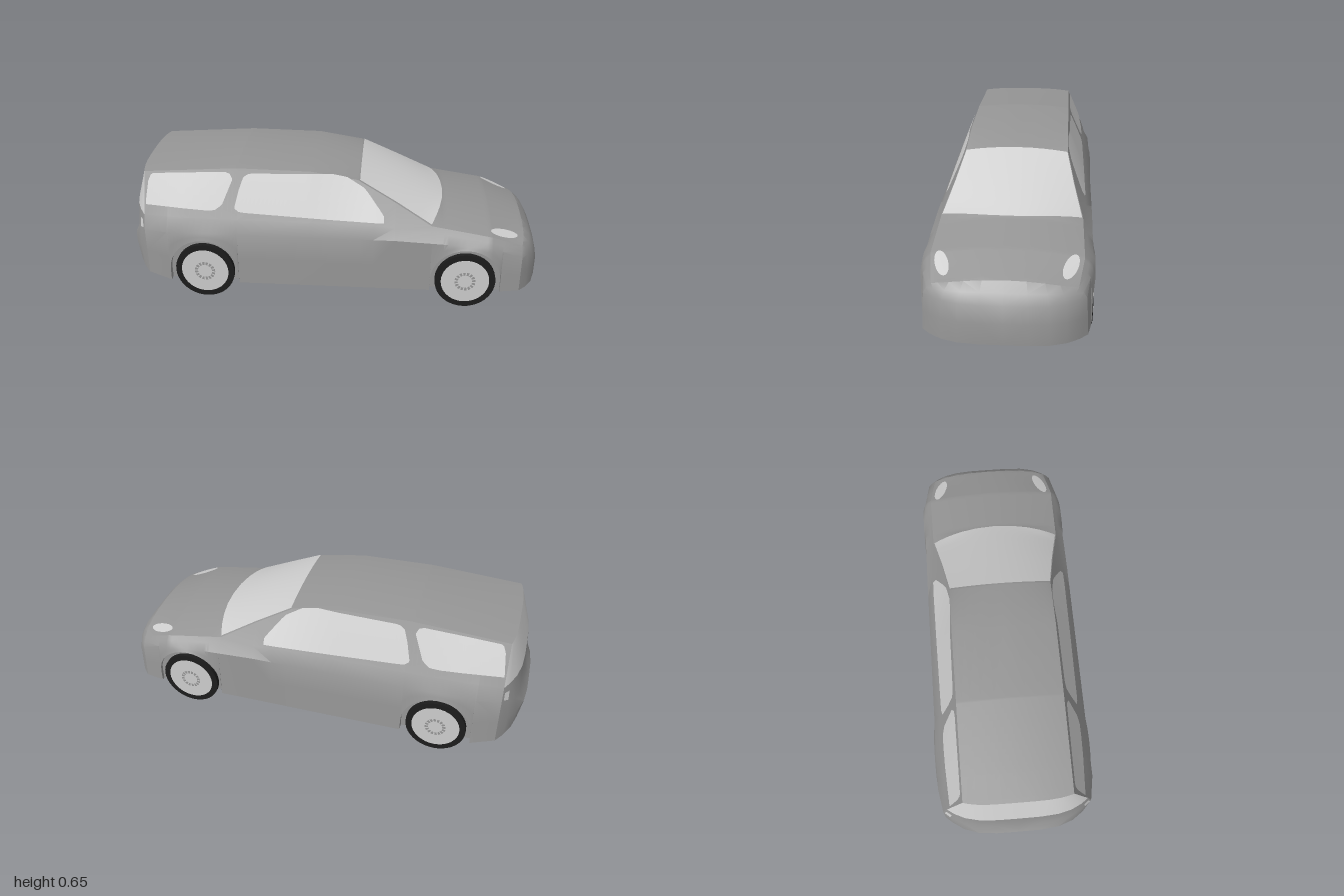
import * as THREE from 'three';
import { toCreasedNormals } from 'three/addons/utils/BufferGeometryUtils.js';

const mat = (name, color) => Object.assign(new THREE.MeshStandardMaterial({ color }), { name });

// Rails along the body: [x, y, z], joined by straight lines
const CENTRE = [[-0.89, 0.62], [-0.45, 0.655], [-0.1, 0.65], [0.13, 0.615], [0.53, 0.44], [0.75, 0.4], [0.9, 0.352]];
const EDGE = [[-0.89, 0.61, 0.245], [-0.45, 0.64, 0.245], [-0.1, 0.635, 0.245], [0.12, 0.6, 0.245],
  [0.3, 0.505, 0.28], [0.47, 0.41, 0.32], [0.75, 0.365, 0.325], [0.9, 0.31, 0.3]];
const BELT = [[-0.89, 0.42, 0.325], [-0.7, 0.415, 0.335], [0.2, 0.41, 0.335], [0.47, 0.385, 0.335], [0.75, 0.345, 0.343], [0.9, 0.29, 0.32]];
const WAIST = [[-0.89, 0.35, 0.348], [-0.78, 0.35, 0.367], [0.3, 0.35, 0.366], [0.55, 0.338, 0.364], [0.75, 0.325, 0.358], [0.9, 0.265, 0.335]];
const SILL = [[-0.89, 0.115, 0.352], [-0.78, 0.09, 0.375], [-0.45, 0.09, 0.378], [0.75, 0.09, 0.372], [0.9, 0.09, 0.345]];

const ACROSS = [0, 0.3, 0.55, 0.75, 0.9, 1];
const WHEELS = [-0.61, 0.64], AXLE_Y = 0.147, ARCH = 0.167, ARCH_Z = 0.345;
const mix = (a, b, t) => a + (b - a) * t;

function at(rail, x) {
  let i = 1;
  while (i < rail.length - 1 && rail[i][0] < x) i++;
  const a = rail[i - 1], b = rail[i];
  const t = THREE.MathUtils.clamp((x - a[0]) / (b[0] - a[0]), 0, 1);
  return a.slice(1).map((v, k) => mix(v, b[k + 1], t));
}

// Height of the roof, windscreen or bonnet, and half width of the glasshouse
function topY(x, z) {
  const [c] = at(CENTRE, x), [y, w] = at(EDGE, x);
  return mix(c, y, (z / w) ** 2);
}
function sideZ(x, y) {
  const e = at(EDGE, x), b = at(BELT, x);
  return mix(e[1], b[1], (y - e[0]) / (b[0] - e[0]));
}

// Points [y, z] down the side, from roof edge to sill
function sidePoints(x) {
  const w = at(WAIST, x), s = at(SILL, x);
  const hub = WHEELS.find(c => Math.abs(x - c) <= ARCH + 1e-6);
  if (hub !== undefined) s[0] = AXLE_Y + Math.sqrt(Math.max(0, ARCH ** 2 - (x - hub) ** 2));
  return { inArch: hub !== undefined, side: [at(EDGE, x), at(BELT, x), w, [mix(w[0], s[0], 0.5), mix(w[1], s[1], 0.5)], s] };
}

// Half a cross-section, including arch recess and floor
function section(x) {
  const { inArch, side } = sidePoints(x), [sy, sz] = side[4];
  const w = side[0][1], floorY = at(SILL, x)[0], inner = inArch ? ARCH_Z : sz;
  return [...ACROSS.map(t => [topY(x, t * w), t * w]), ...side.slice(1),
    [sy, inner], [floorY, inner], [floorY, 0]].map(([y, z]) => [x, y, z]);
}

// Surface from grids of points, each mirrored to the other side
function skin(grids, crease = 0.5) {
  const pos = [], a = new THREE.Vector3(), b = new THREE.Vector3(), c = new THREE.Vector3();
  const tri = (p, q, r) => {
    a.set(...p); b.set(...q).sub(a); c.set(...r).sub(a);
    if (b.cross(c).length() > 1e-9) pos.push(...p, ...q, ...r);
  };
  const mir = ([x, y, z]) => [x, y, -z];
  const both = (p, q, r, flip) => {
    if (flip) [q, r] = [r, q];
    tri(p, q, r);
    tri(mir(p), mir(r), mir(q));
  };
  for (const { points: g, flip } of grids)
    for (let i = 0; i < g.length - 1; i++)
      for (let j = 0; j < g[i].length - 1; j++) {
        both(g[i][j], g[i][j + 1], g[i + 1][j], flip);
        both(g[i][j + 1], g[i + 1][j + 1], g[i + 1][j], flip);
      }
  const geo = new THREE.BufferGeometry();
  geo.setAttribute('position', new THREE.Float32BufferAttribute(pos, 3));
  geo.scale(100, 100, 100);
  return toCreasedNormals(geo, crease).scale(0.01, 0.01, 0.01);
}

const grid = (n, m, f) => Array.from({ length: n + 1 }, (_, i) => Array.from({ length: m + 1 }, (_, j) => f(i / n, j / m)));

// Bulged nose or tail: rows run from the side corners to centre points [x, y]
function endRows(x, centres) {
  const side = sidePoints(x).side;
  const rim = ACROSS.map(t => [x, topY(x, t * side[0][1]), t * side[0][1]]);
  const rows = centres.map(([cx, cy], k) => ACROSS.map(t => {
    const [y, z] = side[k], q = t ** 4;
    return [mix(cx, x, q), mix(cy, y, k ? q : t * t), t * z];
  }));
  const last = side[4];
  return [rim, ...rows, ACROSS.map(t => [x, last[0], t * last[1]])];
}

export function createModel() {
  const paint = mat('body paint', 0x969696), glass = mat('glass', 0xd0d0d0);
  const rubber = mat('tyre rubber', 0x1c1c1c), metal = mat('wheel metal', 0xcccccc);
  const car = new THREE.Group();
  car.name = 'car';
  const add = (name, geo, material, parent = car) => {
    const mesh = new THREE.Mesh(geo, material);
    mesh.name = name;
    parent.add(mesh);
    return mesh;
  };

  // Body shell
  const xs = [CENTRE, EDGE, BELT, WAIST, SILL].flatMap(r => r.map(p => p[0]));
  for (const c of WHEELS) {
    xs.push(c - ARCH - 1e-4, c + ARCH + 1e-4);
    for (let i = 0; i <= 16; i++) xs.push(c - ARCH * Math.cos(Math.PI * i / 16));
  }
  const stations = [...new Set(xs)].sort((a, b) => a - b);
  const nose = endRows(0.9, [[0.92, 0.345], [0.955, 0.305], [0.98, 0.262], [1, 0.19], [1, 0.09]]);
  const tail = endRows(-0.89, [[-0.91, 0.618], [-0.96, 0.45], [-0.972, 0.3], [-1, 0.25], [-0.98, 0.145]]);
  add('body', skin([
    { points: stations.map(section) },
    { points: nose },
    { points: tail.slice(0, 2), flip: true },
    { points: tail.slice(2), flip: true },
  ]), paint);
  add('rearWindow', skin([{ points: tail.slice(1, 3), flip: true }]), glass);

  // Windscreen with a bowed lower edge
  add('windscreen', skin([{
    points: Array.from({ length: 13 }, (_, i) => ACROSS.map(t => {
      const x = mix(0.13, 0.53 - 0.06 * t * t, i / 12), z = t * 0.985 * at(EDGE, x)[1];
      return [x, topY(x, z) + 0.005, z];
    })),
  }]), glass);

  // Side windows: upper and lower outlines [x, y]
  const pane = (name, top, bottom) => {
    const x0 = top[0][0], x1 = top[top.length - 1][0];
    add(name, skin([{
      points: grid(36, 5, (u, v) => {
        const x = mix(x0, x1, u), y = mix(at(top, x)[0], at(bottom, x)[0], v);
        return [x, y, sideZ(x, y) + 0.005];
      }),
    }]), glass);
  };
  pane('frontSideWindows',
    [[-0.455, 0.475], [-0.425, 0.59], [-0.41, 0.612], [-0.385, 0.621], [0, 0.628], [0.07, 0.615], [0.155, 0.567], [0.225, 0.48], [0.247, 0.45]],
    [[-0.455, 0.465], [-0.44, 0.452], [-0.41, 0.448], [0, 0.43], [0.247, 0.421]]);
  pane('rearSideWindows',
    [[-0.882, 0.48], [-0.868, 0.59], [-0.85, 0.605], [-0.7, 0.614], [-0.5, 0.624], [-0.475, 0.615], [-0.468, 0.595]],
    [[-0.882, 0.468], [-0.6, 0.453], [-0.55, 0.455], [-0.515, 0.48], [-0.485, 0.55], [-0.468, 0.59]]);

  // Headlights: slanted ovals on the bonnet corners
  add('headlights', skin([{
    flip: true,
    points: grid(28, 4, (u, r) => {
      const a = u * Math.PI * 2, p = 0.07 * r * Math.cos(a), q = 0.027 * r * Math.sin(a);
      const x = 0.815 + 0.94 * p + 0.34 * q, z = 0.268 - 0.34 * p + 0.94 * q;
      return [x, topY(x, z) + 0.006, z];
    }),
  }]), glass);

  // Tail lights at the outer corners
  const [r0, r1] = [tail[2], tail[3]];
  add('tailLights', skin([{
    flip: true,
    points: grid(1, 1, (v, u) => [0, 1, 2].map(k =>
      mix(mix(r0[4][k], r0[5][k], mix(0.2, 0.9, u)), mix(r1[4][k], r1[5][k], mix(0.2, 0.9, u)), mix(0.35, 0.85, v)) - (k ? 0 : 0.005))),
  }]), glass);

  // Wheels
  for (const x of WHEELS) for (const s of [1, -1]) {
    const wheel = new THREE.Group();
    wheel.name = (x > 0 ? 'front' : 'rear') + 'Wheel';
    wheel.position.set(x, AXLE_Y - 0.004, s * 0.321);
    if (s < 0) wheel.rotation.y = Math.PI;
    add('tyre', new THREE.CylinderGeometry(0.143, 0.143, 0.09, 40).rotateX(Math.PI / 2), rubber, wheel);
    add('rim', new THREE.CylinderGeometry(0.114, 0.114, 0.094, 40).rotateX(Math.PI / 2), metal, wheel);
    for (let i = 0; i < 16; i++)
      add('hubSlot', new THREE.RingGeometry(0.034, 0.05, 2, 1, i * Math.PI / 8, 0.25).translate(0, 0, 0.049), paint, wheel);
    car.add(wheel);
  }
  return car;
}
